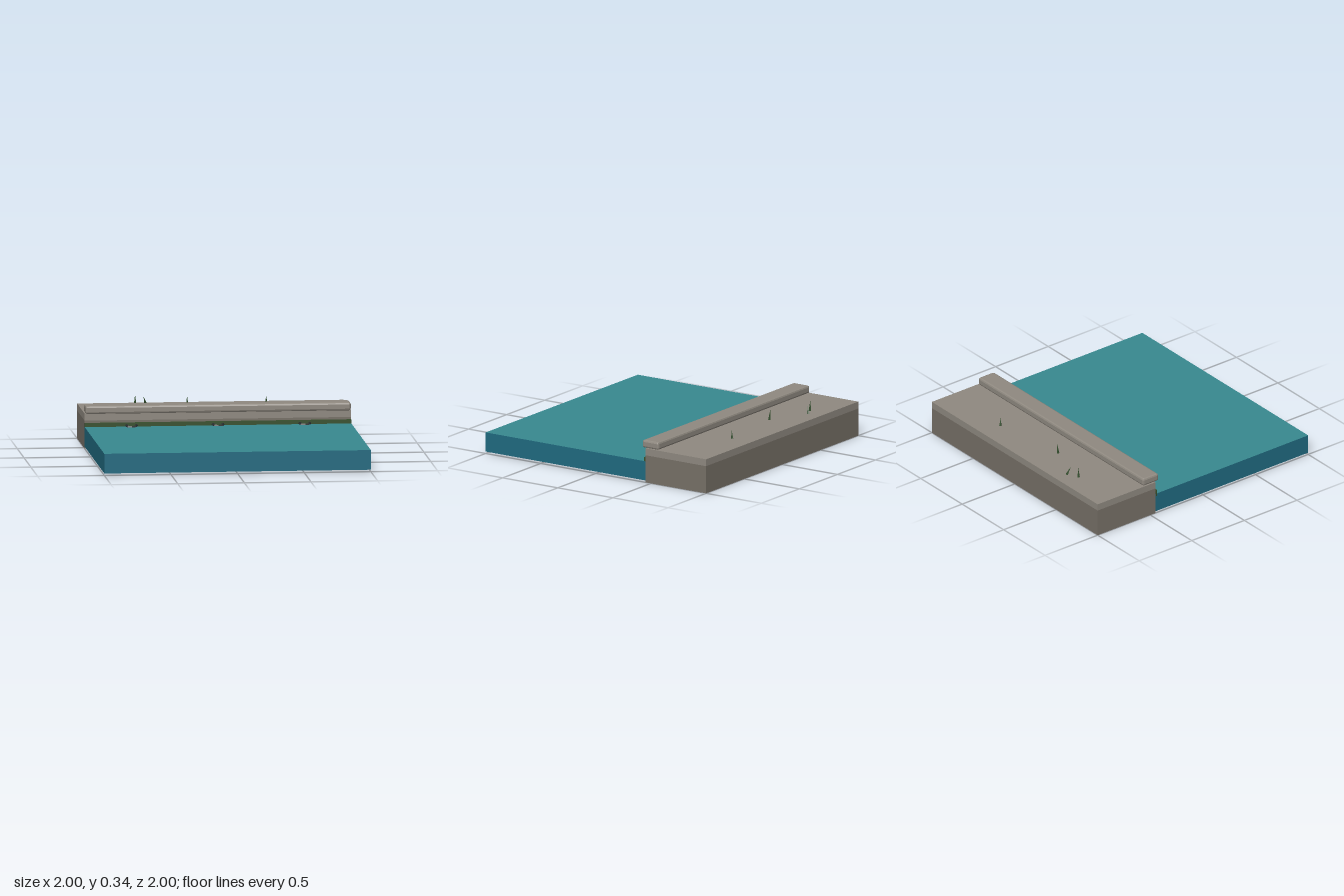
import * as THREE from 'three';
import { RoundedBoxGeometry } from 'three/addons/geometries/RoundedBoxGeometry.js';

const paint = (color) => {
  const m = new THREE.MeshStandardMaterial({ flatShading: true });
  m.color.set(color);
  return m;
};

export function createModel() {
  const group = new THREE.Group();
  const add = (name, geometry, material, x, y, z) => {
    const mesh = new THREE.Mesh(geometry, material);
    mesh.name = name;
    mesh.position.set(x, y, z);
    group.add(mesh);
    return mesh;
  };
  // Box given by its y and z limits, spanning the full width
  const slab = (name, y0, y1, z0, z1, material) =>
    add(name, new THREE.BoxGeometry(2, y1 - y0, z1 - z0), material, 0, (y0 + y1) / 2, (z0 + z1) / 2);

  const stone = paint(0x8f8980);
  const wallStone = paint(0x777067);
  const iron = paint(0x2a2d2e);
  const grass = paint(0x35502f);

  // Water: lighter surface, deeper sides and underside
  const side = paint(0x206a80);
  slab('water', 0.015, 0.163, -0.45, 1, [side, side, paint(0x38898f), paint(0x153e50), side, side]);

  // Quay: wall, paler top course, chamfered coping and algae line
  slab('quayWall', 0, 0.21, -1, -0.45, wallStone);
  slab('quayTopCourse', 0.21, 0.263, -1, -0.45, stone);
  add('coping', new RoundedBoxGeometry(1.99, 0.06, 0.147, 1, 0.014), stone, 0, 0.293, -0.49);
  slab('algaeLine', 0.14, 0.193, -0.452, -0.437, paint(0x37502c));

  // Mooring rings resting on the water against the wall
  for (const x of [-0.65, 0, 0.65]) {
    const ring = add('mooringRing', new THREE.TorusGeometry(0.038, 0.011, 5, 8), iron, x, 0.17, -0.433);
    ring.rotation.x = Math.PI / 2 + 0.2;
  }

  // Grass blades: base x, base z, height, lean in x, lean in z
  const blades = [
    [-0.58, -0.85, 0.083, 0, -0.005],
    [-0.495, -0.895, 0.073, -0.022, 0.025],
    [-0.2, -0.745, 0.083, 0, -0.01],
    [0.4, -0.822, 0.064, 0, 0.004],
  ];
  for (const [x, z, h, leanX, leanZ] of blades) {
    const cone = new THREE.ConeGeometry(0.011, h, 4).translate(0, h / 2, 0);
    const blade = add('grassBlade', cone, grass, x, 0.262, z);
    blade.quaternion.setFromUnitVectors(
      new THREE.Vector3(0, 1, 0), new THREE.Vector3(leanX, h, leanZ).normalize());
  }
  return group;
}
